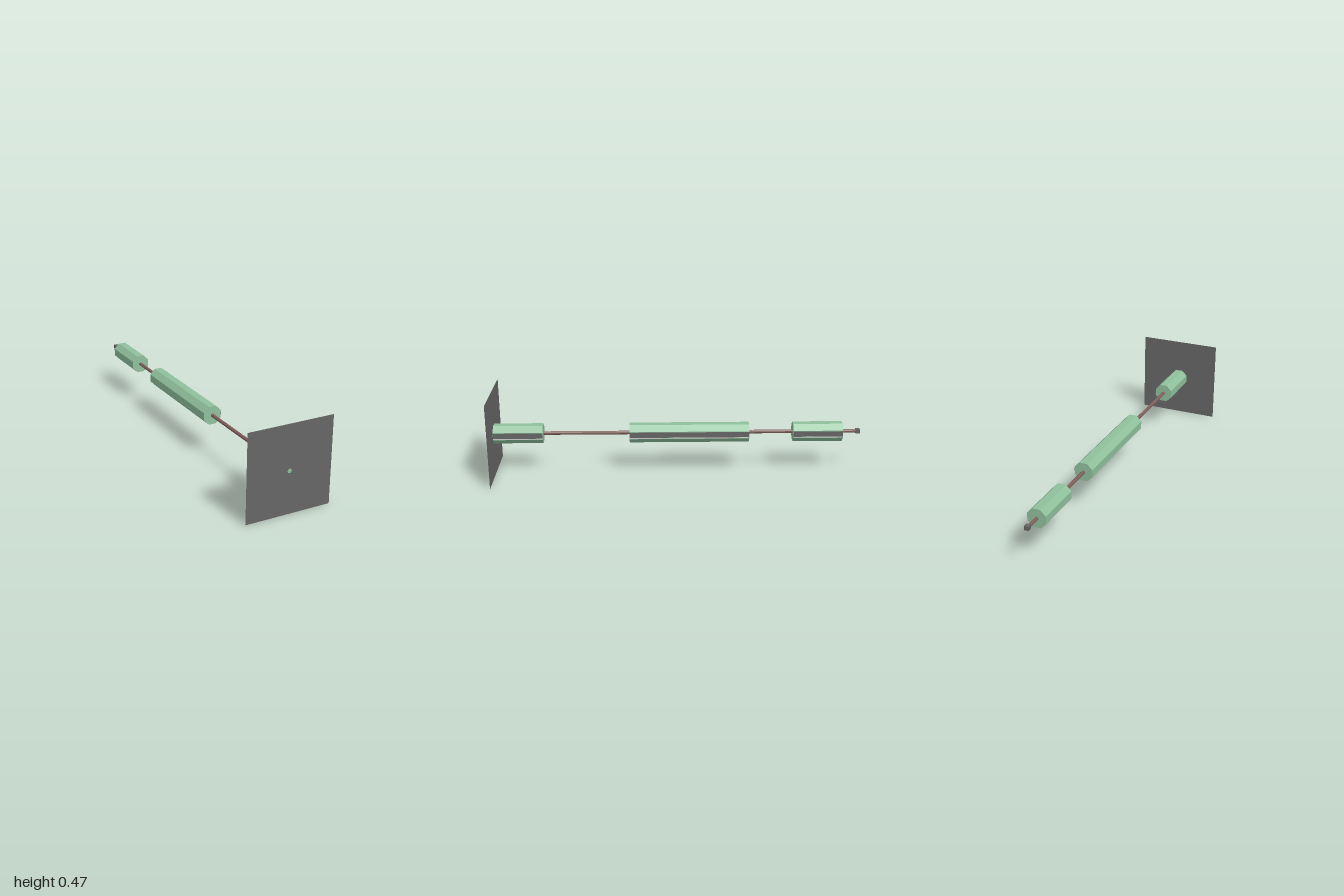
import * as THREE from 'three';

const AXIS_Y = 0.228;

export function createModel() {
  const group = new THREE.Group();
  const material = (color) => new THREE.MeshStandardMaterial({ color, flatShading: true, side: THREE.DoubleSide });
  const green = material(0x8fc09c);
  const brown = material(0x80605a);
  const dark = material(0x666666);
  const pale = material(0xcccccc);

  const add = (name, geometry, mat, x, y, z, parent = group) => {
    const mesh = new THREE.Mesh(geometry, mat);
    mesh.name = name;
    mesh.position.set(x, y, z);
    parent.add(mesh);
    return mesh;
  };

  // Eight-sided bar along z, with flat sides on x and y
  const bar = (apothem, length) => {
    const radius = apothem / Math.cos(Math.PI / 8);
    return new THREE.CylinderGeometry(radius, radius, length, 8).rotateY(Math.PI / 8).rotateX(Math.PI / 2);
  };

  // Thin square plate with a small central hole
  const square = new THREE.Shape();
  const h = 0.233;
  square.moveTo(-h, -h).lineTo(h, -h).lineTo(h, h).lineTo(-h, h).closePath();
  const hole = new THREE.Path();
  hole.absarc(0, AXIS_Y - h - 0.002, 0.012, 0, Math.PI * 2, true);
  square.holes.push(hole);
  add('frontPlate', new THREE.ShapeGeometry(square, 4), dark, 0, h, 0.999);

  // Long thin rod and its square end nut
  add('rod', bar(0.009, 1.98), brown, 0, AXIS_Y, -0.002);
  add('endNut', new THREE.BoxGeometry(0.023, 0.023, 0.024), dark, 0, AXIS_Y, -0.988);

  // Octagonal sleeves, each with an inlaid strip along the +x side
  const sleeves = [
    ['frontSleeve', 0.73, 0.998],
    ['middleSleeve', -0.39, 0.26],
    ['rearSleeve', -0.9, -0.63],
  ];
  for (const [name, back, front] of sleeves) {
    const length = front - back;
    const sleeve = new THREE.Group();
    sleeve.name = name;
    sleeve.position.set(0, AXIS_Y, (front + back) / 2);
    group.add(sleeve);
    add('sleeveBody', bar(0.05, length), green, 0, 0, 0, sleeve);
    add('sideStrip', new THREE.BoxGeometry(0.004, 0.03, length - 0.002), dark, 0.0488, 0.002, 0, sleeve);
    add('paleLine', new THREE.BoxGeometry(0.004, 0.005, length - 0.002), pale, 0.0488, -0.016, 0, sleeve);
  }

  return group;
}
